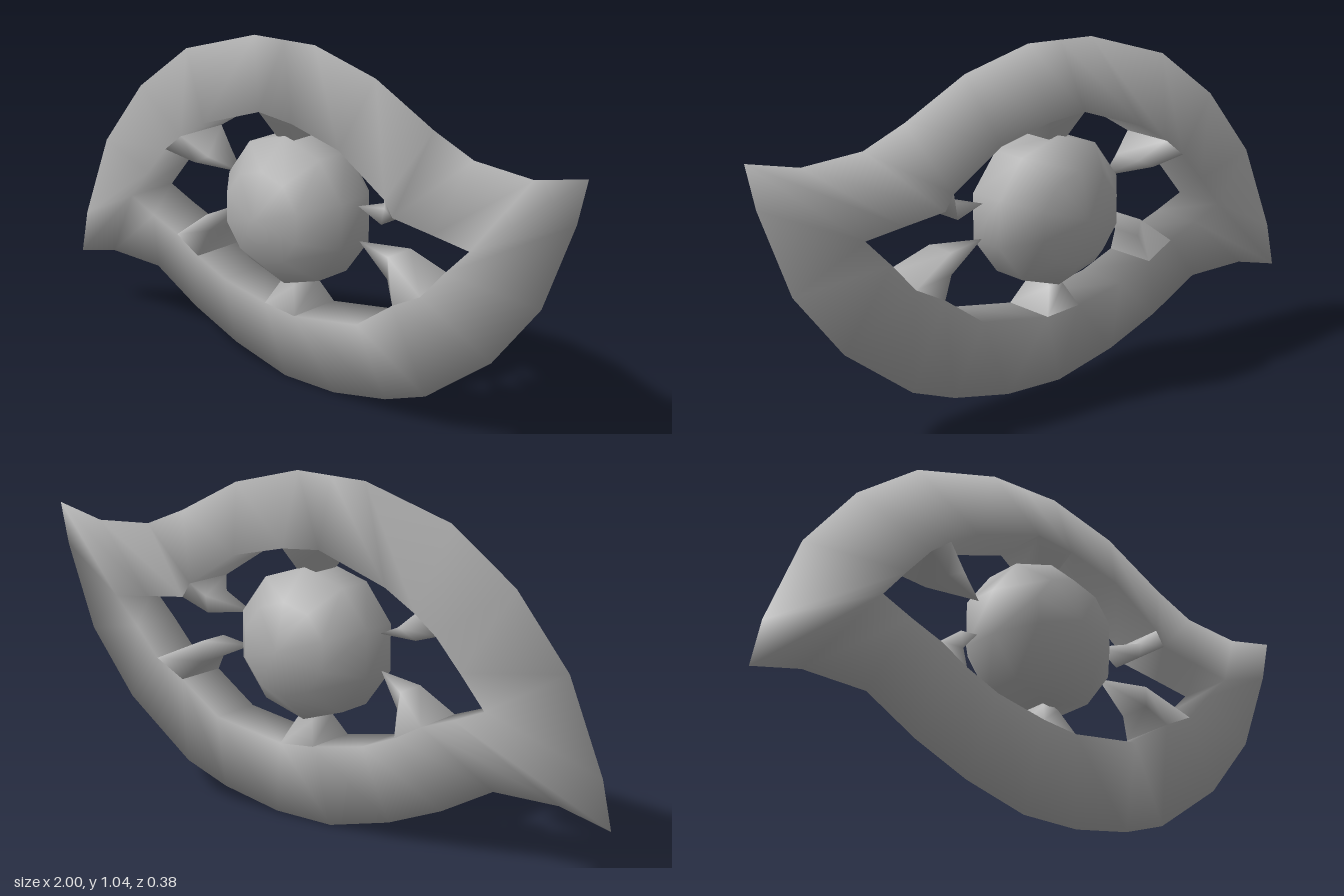
import * as THREE from 'three';
import { mergeVertices } from 'three/addons/utils/BufferGeometryUtils.js';

// Skin a row of equal-length cross-sections, smooth shaded
function loft(sections, closed) {
  const n = sections[0].length, index = [];
  const rows = closed ? sections.length : sections.length - 1;
  for (let i = 0; i < rows; i++) {
    const j = (i + 1) % sections.length;
    for (let k = 0; k < n; k++) {
      const m = (k + 1) % n;
      const a = i * n + k, b = i * n + m, c = j * n + m, d = j * n + k;
      index.push(a, b, c, a, c, d);
    }
  }
  let geo = new THREE.BufferGeometry();
  geo.setAttribute('position', new THREE.Float32BufferAttribute(sections.flat(2), 3));
  geo.setIndex(index);
  geo = mergeVertices(geo, 1e-4);
  geo.computeVertexNormals();
  return geo;
}

export function createModel() {
  const group = new THREE.Group();
  const grey = new THREE.MeshStandardMaterial({ color: 0xb0b0b0 });
  grey.name = 'grey';
  const add = (name, geo) => {
    const mesh = new THREE.Mesh(geo, grey);
    mesh.name = name;
    group.add(mesh);
    return mesh;
  };
  const depth = 0.085;

  // Eyelid stations, clockwise: outer x, y (sharp edge), inner x, y (full depth)
  const stations = [
    [-1, 0.17, -0.65, 0.46], [-0.97, 0.31, -0.65, 0.46], [-0.86, 0.58, -0.57, 0.555],
    [-0.69, 0.79, -0.49, 0.645], [-0.48, 0.945, -0.42, 0.7], [-0.19, 1.035, -0.32, 0.76],
    [-0.07, 1.04, -0.09, 0.84], [0.05, 1.045, 0.04, 0.83], [0.28, 0.99, 0.22, 0.79],
    [0.49, 0.885, 0.39, 0.685], [0.63, 0.83, 0.42, 0.64], [0.83, 0.82, 0.56, 0.625],
    [1, 0.86, 0.69, 0.61], [0.97, 0.73, 0.69, 0.61], [0.87, 0.47, 0.605, 0.525],
    [0.71, 0.27, 0.525, 0.437], [0.48, 0.1, 0.425, 0.385], [0.33, 0.045, 0.29, 0.29],
    [0.13, 0.005, 0.05, 0.25], [-0.07, 0, -0.07, 0.26], [-0.28, 0.05, -0.24, 0.29],
    [-0.46, 0.12, -0.355, 0.335], [-0.63, 0.21, -0.445, 0.383], [-0.84, 0.21, -0.55, 0.42],
  ];
  add('eyelids', loft(stations.map(([ox, oy, ix, iy]) =>
    [[ox, oy, 0], [ix, iy, depth], [ix, iy, -depth]]), true));

  // Lashes: base spans two neighbouring stations, then a narrower middle, then the tip
  const slab = (a, b, z) => [[...b, z], [...a, z], [...a, -z], [...b, -z]];
  const lashes = [
    ['upperRightLash', 3, [-0.4, 0.615], [-0.34, 0.645], [-0.245, 0.605]],
    ['upperLash', 6, [-0.055, 0.77], [0.015, 0.77], [-0.02, 0.72]],
    ['upperLeftLash', 9, [0.36, 0.645], [0.35, 0.595], [0.22, 0.607]],
    ['lowerLeftLash', 15, [0.375, 0.505], [0.375, 0.44], [0.225, 0.503]],
    ['lowerLash', 18, [0.015, 0.325], [-0.04, 0.325], [-0.015, 0.38]],
    ['lowerRightLash', 21, [-0.34, 0.41], [-0.35, 0.46], [-0.25, 0.497]],
  ];
  for (const [name, s, midA, midB, tip] of lashes) {
    add(name, loft([
      slab(stations[s].slice(2), stations[s + 1].slice(2), depth),
      slab(midA, midB, 0.05),
      slab(tip, tip, 0),
    ], false));
  }

  // Low-poly eyeball with its poles facing front and back
  const ball = new THREE.SphereGeometry(1, 10, 5);
  ball.rotateY(Math.PI / 10).rotateX(Math.PI / 2).scale(0.248, 0.236, 0.19);
  add('eyeball', ball).position.set(-0.016, 0.553, 0);

  return group;
}
